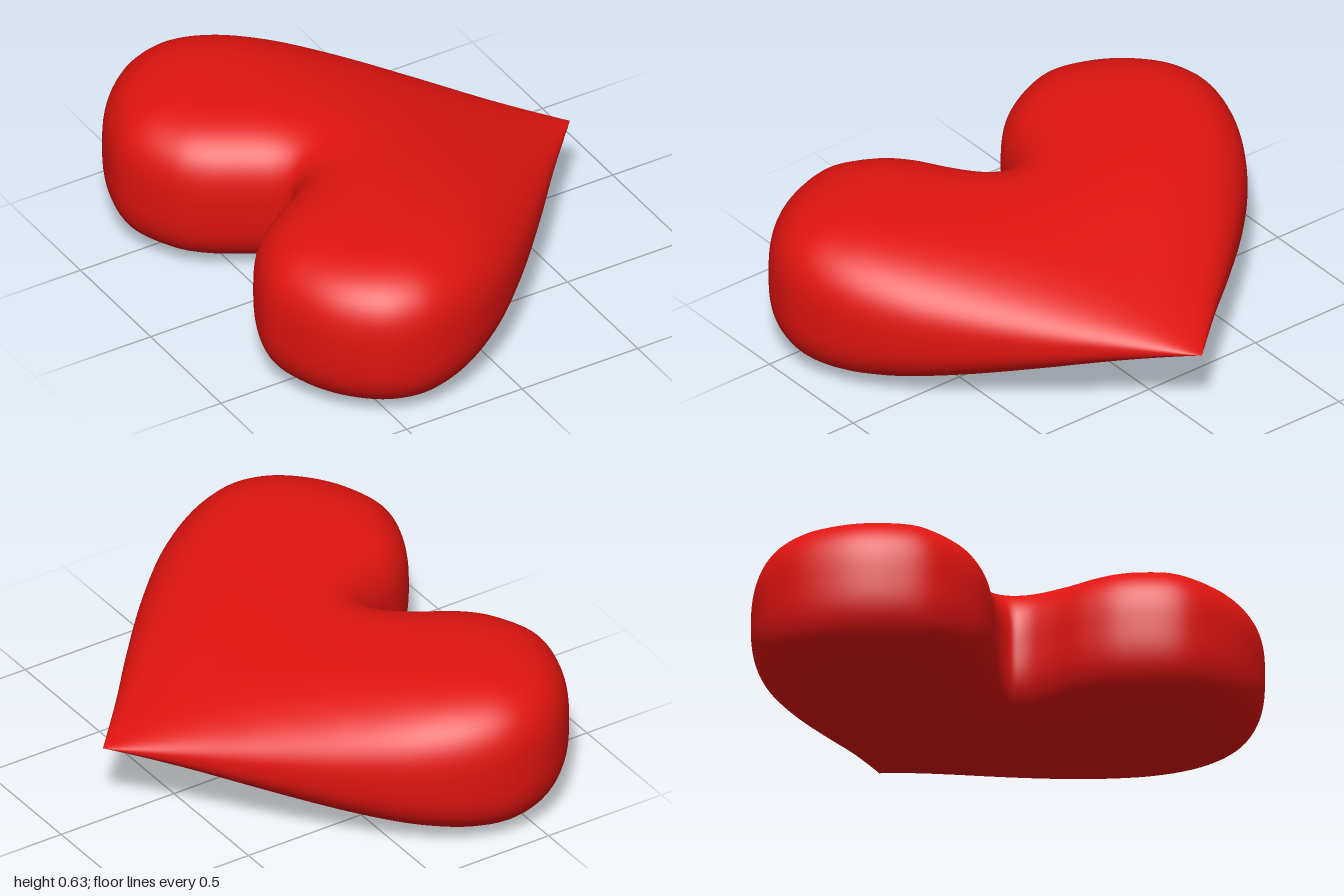
import * as THREE from 'three';
import { mergeVertices } from 'three/addons/utils/BufferGeometryUtils.js';

const TIP = 0.815, MID = 0.314;

// Half of the heart outline as [x, z], from the tip round one lobe to the cleft
const HALF = [
  [TIP, 0], [0.61, 0.225], [0.42, 0.445], [0.2, 0.68], [0, 0.855], [-0.2, 0.965],
  [-0.38, 1], [-0.55, 0.957], [-0.7, 0.83], [-0.79, 0.67], [-0.82, 0.5],
  [-0.735, 0.295], [-0.63, 0.19], [-0.5, 0.11], [-0.425, 0.05], [-0.4, 0],
];

function heartOutline() {
  const mirrored = HALF.slice(0, -1).reverse().map(([x, z]) => [x, -z]);
  const pts = [...HALF, ...mirrored].map(([x, z]) => new THREE.Vector3(x, 0, z));
  const curve = new THREE.CatmullRomCurve3(pts);
  return curve.getPoints((pts.length - 1) * 8).slice(0, -1);
}

// Shortest distance from (x, z) to the closed outline
function edgeDistance(outline, x, z) {
  let best = Infinity;
  outline.forEach((a, i) => {
    const b = outline[(i + 1) % outline.length];
    const ex = b.x - a.x, ez = b.z - a.z;
    const t = THREE.MathUtils.clamp(((x - a.x) * ex + (z - a.z) * ez) / (ex * ex + ez * ez), 0, 1);
    best = Math.min(best, Math.hypot(x - a.x - ex * t, z - a.z - ez * t));
  });
  return best;
}

// Half thickness: a pillow rounded at the rim that tapers to a point at the tip
function halfThickness(outline, x, z) {
  const k = THREE.MathUtils.clamp((x + 0.4) / (TIP + 0.4), 0, 1);
  const crown = MID * Math.pow(Math.max(Math.cos(k * Math.PI / 2), 0), 1.08);
  const radius = 0.45 * Math.tanh(0.75 * (TIP - x) / 0.45) + 1e-6;
  const u = Math.min(edgeDistance(outline, x, z) / radius, 1);
  const n = 3 - 0.8 * k;
  return crown * Math.pow(1 - Math.pow(1 - u, n), 1 / n);
}

// Each outline point sweeps a rib from the bottom centre, over the rim, to the top centre
function heartGeometry() {
  const outline = heartOutline(), ribs = outline.length, rows = 56;
  const positions = [], index = [];
  for (const p of outline) {
    for (let j = 0; j <= rows; j++) {
      const s = (2 * j) / rows - 1;
      const r = 1 - Math.abs(s) ** 3;
      const x = p.x * r, z = p.z * r;
      const y = s === 0 ? 0 : Math.sign(s) * halfThickness(outline, x, z);
      positions.push(x, MID + y, z);
    }
  }
  for (let i = 0; i < ribs; i++) {
    for (let j = 0; j < rows; j++) {
      const a = i * (rows + 1) + j, b = ((i + 1) % ribs) * (rows + 1) + j;
      if (j < rows - 1) index.push(a, a + 1, b + 1);
      if (j > 0) index.push(a, b + 1, b);
    }
  }
  const geometry = new THREE.BufferGeometry();
  geometry.setAttribute('position', new THREE.Float32BufferAttribute(positions, 3));
  geometry.setIndex(index);
  const merged = mergeVertices(geometry, 1e-5);
  merged.computeVertexNormals();
  return merged;
}

export function createModel() {
  const group = new THREE.Group();
  const heart = new THREE.Mesh(heartGeometry(), new THREE.MeshStandardMaterial({ color: 0xe01410 }));
  heart.name = 'heart';
  group.add(heart);
  return group;
}
